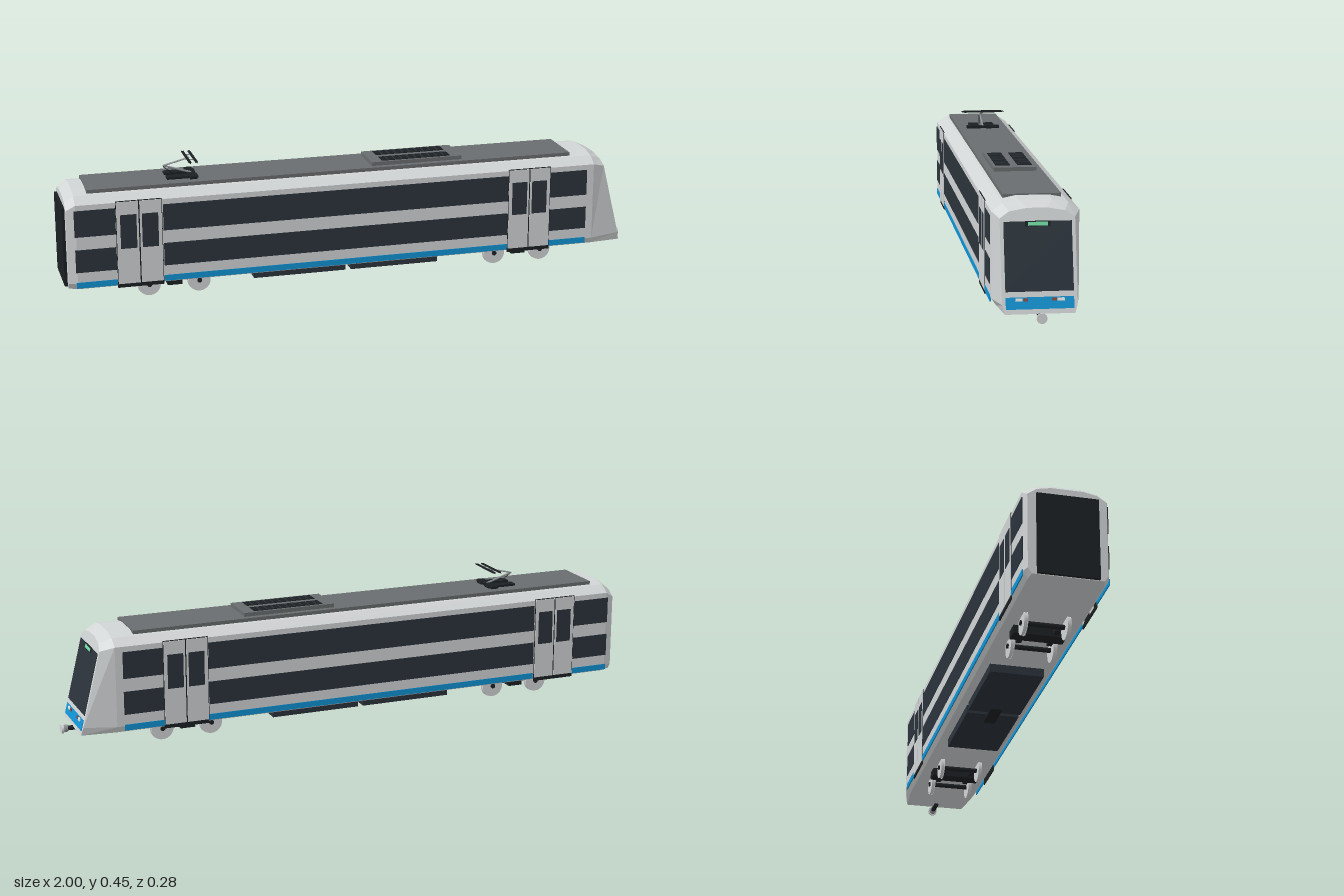
import * as THREE from 'three';

const mat = (name, color) => Object.assign(new THREE.MeshStandardMaterial({ color }), { name });

export function createModel() {
  const M = {
    body: mat('body grey', 0xd2d5d6), glass: mat('dark glass', 0x2b333b), blue: mat('blue', 0x1094d6),
    roof: mat('roof grey', 0x6a6d6f), black: mat('black', 0x1c2023), green: mat('sign green', 0x6fdca4),
    white: mat('lamp white', 0xf0f2f2), red: mat('lamp red', 0x8a4a3c), steel: mat('steel', 0x8f9396),
  };
  const train = new THREE.Group();
  train.name = 'railCar';

  const add = (name, geo, material, parent = train) => {
    const mesh = new THREE.Mesh(geo, material);
    mesh.name = name;
    parent.add(mesh);
    return mesh;
  };
  // box given by its limits on each axis
  const box = (name, m, x0, x1, y0, y1, z0, z1, parent) => {
    const b = add(name, new THREE.BoxGeometry(x1 - x0, y1 - y0, z1 - z0), m, parent);
    b.position.set((x0 + x1) / 2, (y0 + y1) / 2, (z0 + z1) / 2);
    return b;
  };
  // straight round rod between two points
  const rod = (name, m, a, b, r, parent, sides = 8) => {
    const p = new THREE.Vector3(...a), q = new THREE.Vector3(...b);
    const mesh = add(name, new THREE.CylinderGeometry(r, r, p.distanceTo(q), sides), m, parent);
    mesh.position.copy(p).add(q).multiplyScalar(0.5);
    mesh.quaternion.setFromUnitVectors(new THREE.Vector3(0, 1, 0), q.sub(p).normalize());
    return mesh;
  };

  // Body shell: lofted cross-sections, half profiles as [z, y]
  const full = [[0.118, 0.062], [0.134, 0.085], [0.134, 0.354], [0.1, 0.377], [0.05, 0.387]];
  const rear = [[0.112, 0.066], [0.124, 0.085], [0.124, 0.335], [0.095, 0.355], [0.05, 0.364]];
  const nose = [[0.106, 0.062], [0.114, 0.09], [0.114, 0.34], [0.085, 0.36], [0.03, 0.369]];
  const SLOPE = 0.25, NOSE_X = 0.96, FLOOR = 0.062;
  const ring = (half, xAt) => [...half, ...half.map(([z, y]) => [-z, y]).reverse()]
    .map(([z, y]) => [xAt(y), y, z]);
  const rings = [
    ring(rear, () => -0.99), ring(full, () => -0.96), ring(full, () => 0.845),
    ring(nose, (y) => NOSE_X - SLOPE * (y - FLOOR)),
  ];
  const pos = [], n = rings[0].length;
  for (let i = 0; i < rings.length - 1; i++) {
    for (let j = 0; j < n; j++) {
      const k = (j + 1) % n, [a, b] = [rings[i], rings[i + 1]];
      pos.push(...a[j], ...b[j], ...b[k], ...a[j], ...b[k], ...a[k]);
    }
  }
  const first = rings[0], last = rings[rings.length - 1];
  for (let j = 1; j < n - 1; j++) {
    pos.push(...first[0], ...first[j], ...first[j + 1]);
    pos.push(...last[0], ...last[j + 1], ...last[j]);
  }
  const shell = new THREE.BufferGeometry();
  shell.setAttribute('position', new THREE.Float32BufferAttribute(pos, 3));
  shell.computeVertexNormals();
  add('bodyShell', shell, M.body);

  // Both sides: window bands, blue stripe and double doors
  for (const s of [1, -1]) {
    const side = new THREE.Group();
    side.name = s > 0 ? 'frontSide' : 'backSide';
    train.add(side);
    const plate = (name, m, x0, x1, y0, y1, out) =>
      box(name, m, x0, x1, y0, y1, s > 0 ? 0.132 : -out, s > 0 ? out : -0.132, side);
    for (const [x0, x1] of [[-0.965, -0.83], [-0.672, 0.53], [0.685, 0.82]]) {
      plate('upperWindows', M.glass, x0, x1, 0.246, 0.336, 0.1355);
      plate('lowerWindows', M.glass, x0, x1, 0.124, 0.202, 0.1355);
      plate('blueStripe', M.blue, x0, x1, 0.07, 0.09, 0.1355);
    }
    for (const x of [-0.829, 0.531]) {
      plate('doorFrame', M.black, x, x + 0.154, 0.07, 0.358, 0.1352);
      plate('doorStep', M.black, x, x + 0.154, 0.06, 0.07, 0.1352);
      for (const dx of [0.002, 0.079]) {
        plate('doorLeaf', M.body, x + dx, x + dx + 0.073, 0.073, 0.356, 0.1365);
        const wx = x + dx + (dx < 0.05 ? 0.012 : 0.007);
        plate('doorWindow', M.glass, wx, wx + 0.054, 0.195, 0.311, 0.1375);
      }
    }
  }

  // Sloped cab front: local y runs up the slope, local x points outwards
  const cab = new THREE.Group();
  cab.name = 'cabFront';
  cab.position.set(NOSE_X, FLOOR, 0);
  cab.rotation.z = Math.atan(SLOPE);
  train.add(cab);
  const up = (y) => (y - FLOOR) * Math.hypot(1, SLOPE);
  const panel = (name, m, y0, y1, z0, z1, out) => box(name, m, -0.002, out, up(y0), up(y1), z0, z1, cab);
  panel('windscreen', M.glass, 0.127, 0.33, -0.103, 0.103, 0.002);
  panel('blueBand', M.blue, 0.076, 0.111, -0.103, 0.103, 0.002);
  panel('signFrame', M.black, 0.315, 0.331, -0.038, 0.038, 0.004);
  panel('signDisplay', M.green, 0.317, 0.328, -0.03, 0.03, 0.005);
  for (const s of [1, -1]) {
    const lamp = (name, m, a, b) => panel(name, m, 0.099, 0.108, Math.min(s * a, s * b), Math.max(s * a, s * b), 0.005);
    lamp('headLamp', M.white, 0.053, 0.074);
    lamp('tailLamp', M.red, 0.036, 0.05);
  }

  // Coupler and rear gangway
  rod('couplerShaft', M.black, [0.92, 0.057, 0], [0.982, 0.057, 0], 0.008, train, 12);
  rod('couplerHead', M.steel, [0.978, 0.057, 0], [0.994, 0.057, 0], 0.012, train, 20);
  rod('couplerFace', M.body, [0.992, 0.057, 0], [1, 0.057, 0], 0.016, train, 24);
  box('rearGangway', M.black, -1, -0.988, 0.068, 0.338, -0.097, 0.097);

  // Roof deck and cooling unit
  box('roofDeck', M.roof, -0.915, 0.77, 0.376, 0.391, -0.09, 0.09);
  box('coolingUnit', M.roof, 0.06, 0.38, 0.39, 0.404, -0.07, 0.07);
  for (const s of [1, -1]) {
    const grille = box('coolingGrille', M.black, 0.098, 0.342, 0.403, 0.4055, -0.024, 0.024);
    grille.position.z = s * 0.036;
    for (let i = 0; i < 9; i++) {
      const x = 0.12 + i * 0.025;
      const slat = box('grilleSlat', M.glass, x - 0.002, x + 0.002, 0.405, 0.4065, -0.023, 0.023);
      slat.position.z = s * 0.036;
    }
  }

  // Pantograph: base, folded arm and contact head
  const panto = new THREE.Group();
  panto.name = 'pantograph';
  train.add(panto);
  for (const s of [1, -1]) {
    box('baseRail', M.black, -0.64, -0.535, 0.391, 0.398, s * 0.028 - 0.017, s * 0.028 + 0.017, panto);
    rod('upperArm', M.steel, [-0.645, 0.428, s * 0.003], [-0.556, 0.45, s * 0.003], 0.002, panto);
  }
  box('baseCross', M.black, -0.565, -0.54, 0.391, 0.4, -0.06, 0.06, panto);
  rod('lowerArm', M.steel, [-0.55, 0.398, 0], [-0.645, 0.428, 0], 0.0035, panto);
  rod('controlRod', M.black, [-0.61, 0.398, 0.008], [-0.645, 0.425, 0.004], 0.0015, panto);
  for (const x of [-0.566, -0.544]) {
    box('contactStrip', M.black, x - 0.004, x + 0.004, 0.45, 0.454, -0.07, 0.07, panto);
    rod('contactHorn', M.black, [x, 0.451, -0.078], [x, 0.451, 0.078], 0.0013, panto);
  }
  for (const z of [-0.03, 0.03]) box('headLink', M.steel, -0.566, -0.544, 0.449, 0.452, z - 0.002, z + 0.002, panto);

  // Underfloor equipment
  box('equipmentBoxRear', M.glass, -0.36, -0.04, 0.034, 0.064, -0.09, 0.09);
  box('equipmentBoxFront', M.glass, -0.02, 0.29, 0.034, 0.064, -0.09, 0.09);
  box('equipmentLink', M.black, -0.08, 0.04, 0.029, 0.062, -0.02, 0.02);

  // Bogies with two wheelsets each
  for (const cx of [-0.63, 0.59]) {
    const bogie = new THREE.Group();
    bogie.name = 'bogie';
    bogie.position.x = cx;
    train.add(bogie);
    box('bogieBolster', M.black, -0.025, 0.025, 0.035, 0.064, -0.085, 0.085, bogie);
    for (const s of [1, -1]) {
      box('bogieFrame', M.black, -0.055, 0.055, 0.04, 0.056, s * 0.05 - 0.008, s * 0.05 + 0.008, bogie);
      const x = s * 0.085;
      rod('axle', M.black, [x, 0.04, -0.08], [x, 0.04, 0.08], 0.008, bogie, 12);
      for (const z of [-0.069, 0.069]) {
        rod('wheel', M.body, [x, 0.04, z - 0.006], [x, 0.04, z + 0.006], 0.038, bogie, 28);
        const inner = z - Math.sign(z) * 0.005;
        rod('wheelFlange', M.body, [x, 0.04, inner - 0.0015], [x, 0.04, inner + 0.0015], 0.04, bogie, 28);
      }
    }
  }
  return train;
}
